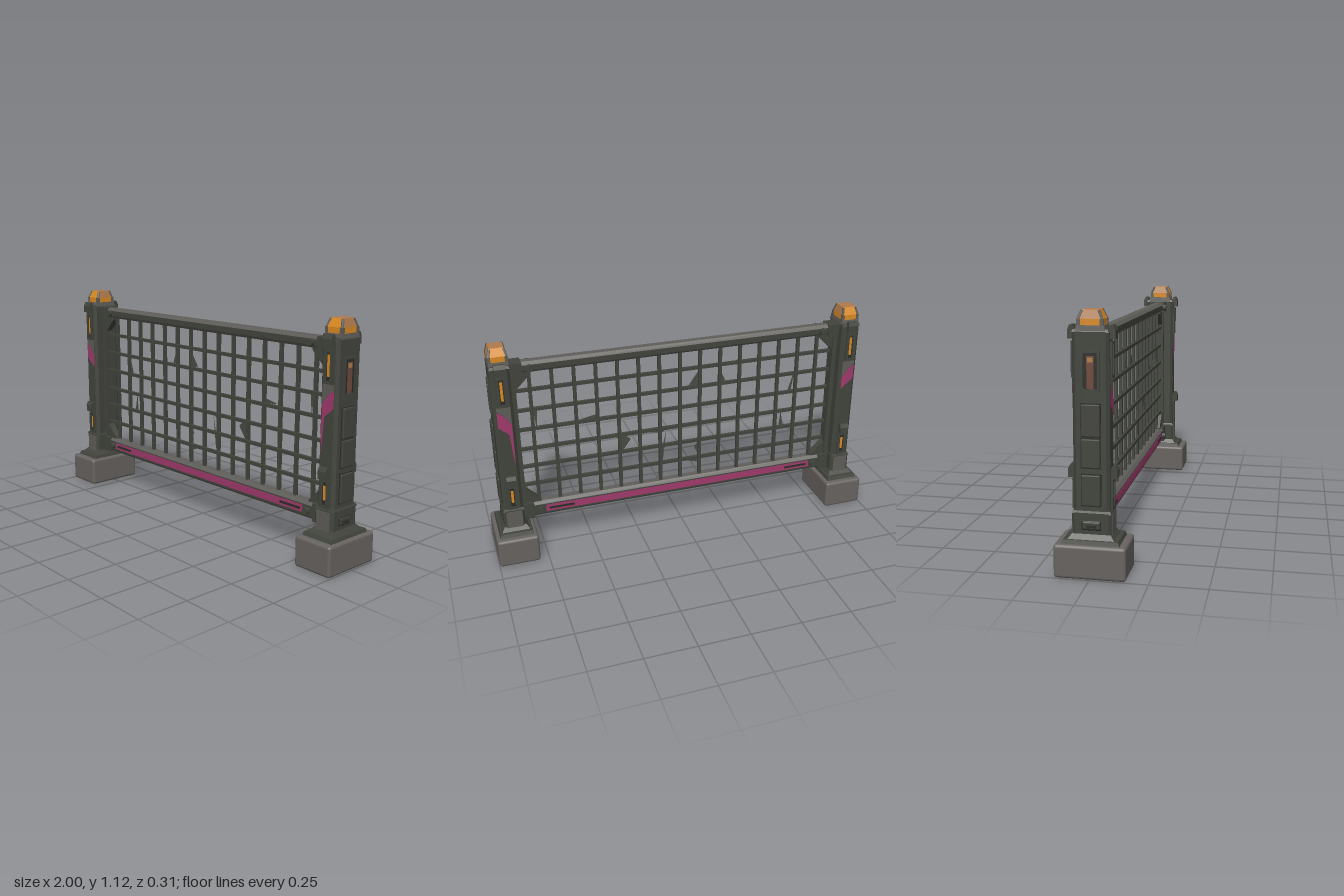
import * as THREE from 'three';
import { RoundedBoxGeometry } from 'three/addons/geometries/RoundedBoxGeometry.js';

const mat = (name, color, side = THREE.FrontSide) => {
  const m = new THREE.MeshStandardMaterial({ color, side });
  m.name = name;
  return m;
};
const steel = mat('darkSteel', 0x42443d);
const worn = mat('wornSteel', 0x5f5d59, THREE.DoubleSide);
const concrete = mat('concrete', 0x676360);
const black = mat('recess', 0x2c2e29);
const orange = mat('amber', 0xd98a22);
const amberTop = mat('amberTop', 0xb07a4c);
const bronze = mat('bronze', 0x6e4a3c);
const magenta = mat('magenta', 0xa03a6c, THREE.DoubleSide);
const scrap = mat('scrap', 0x4a4a45, THREE.DoubleSide);

function add(parent, name, geo, material, x = 0, y = 0, z = 0) {
  const mesh = new THREE.Mesh(geo, material);
  mesh.name = name;
  mesh.position.set(x, y, z);
  parent.add(mesh);
  return mesh;
}
const box = (w, h, d) => new THREE.BoxGeometry(w, h, d);
const polygon = pts => new THREE.Shape(pts.map(p => new THREE.Vector2(...p)));
const plate = pts => new THREE.ShapeGeometry(polygon(pts));

// Upright prism with cut vertical corners, standing on y = 0
function prism(w, h, d, c) {
  const a = w / 2, b = d / 2;
  const geo = new THREE.ExtrudeGeometry(polygon([
    [a - c, -b], [a, c - b], [a, b - c], [a - c, b],
    [c - a, b], [-a, b - c], [-a, c - b], [c - a, -b]]), { depth: h, bevelEnabled: false });
  return geo.rotateX(-Math.PI / 2);
}

// Box whose top is scaled inwards, standing on y = 0
function taper(w, h, d, sx, sz) {
  const geo = box(w, h, d).translate(0, h / 2, 0).toNonIndexed();
  const p = geo.attributes.position;
  for (let i = 0; i < p.count; i++) {
    if (p.getY(i) > h / 2) p.setXYZ(i, p.getX(i) * sx, p.getY(i), p.getZ(i) * sz);
  }
  geo.computeVertexNormals();
  return geo;
}

// Post with +x pointing outwards
function createPost(name) {
  const post = new THREE.Group();
  post.name = name;
  add(post, 'foot', new RoundedBoxGeometry(0.205, 0.147, 0.31, 2, 0.014), concrete, 0, 0.0735, 0);
  add(post, 'plinth', taper(0.168, 0.018, 0.25, 0.94, 0.94), steel, 0, 0.146, 0);
  add(post, 'plinthSlope', taper(0.14, 0.022, 0.2, 0.78, 0.83), steel, 0, 0.163, 0);
  add(post, 'collar', prism(0.106, 0.11, 0.17, 0.012), steel, 0, 0.165, 0);
  add(post, 'collarTop', taper(0.106, 0.012, 0.17, 0.9, 0.94), steel, 0, 0.272, 0);
  add(post, 'column', prism(0.096, 0.76, 0.156, 0.014), steel, 0, 0.27, 0);
  add(post, 'head', taper(0.096, 0.012, 0.156, 0.9, 0.92), steel, 0, 1.028, 0);

  // Outer face: three raised panels, a recessed window and a handle
  for (const [y, h] of [[0.373, 0.132], [0.53, 0.122], [0.668, 0.135]]) {
    add(post, 'panelSeam', box(0.006, h + 0.008, 0.086), black, 0.048, y, 0);
    add(post, 'sidePanel', new RoundedBoxGeometry(0.024, h, 0.08, 1, 0.005), steel, 0.048, y, 0);
  }
  add(post, 'windowRecess', box(0.006, 0.155, 0.062), black, 0.047, 0.872, 0);
  add(post, 'windowPlate', box(0.006, 0.135, 0.03), bronze, 0.049, 0.866, 0);
  add(post, 'windowGlow', box(0.007, 0.02, 0.024), amberTop, 0.05, 0.918, 0);
  for (const s of [-1, 1]) {
    add(post, 'windowSide', box(0.014, 0.165, 0.009), steel, 0.048, 0.872, s * 0.034);
    add(post, 'windowEnd', box(0.014, 0.009, 0.076), steel, 0.048, 0.872 + s * 0.079, 0);
  }
  add(post, 'handleRecess', new RoundedBoxGeometry(0.012, 0.042, 0.084, 2, 0.005), black, 0.05, 0.222, 0);
  add(post, 'handlePad', new RoundedBoxGeometry(0.016, 0.034, 0.076, 2, 0.006), steel, 0.051, 0.222, 0);
  add(post, 'handleSlot', box(0.006, 0.012, 0.042), black, 0.057, 0.218, 0);

  // Front and back fittings
  for (const s of [-1, 1]) {
    const face = new THREE.Group();
    face.name = s > 0 ? 'frontFittings' : 'backFittings';
    post.add(face);
    for (const [part, y, h, ly, lh] of [['upper', 0.915, 0.15, 0.92, 0.096], ['lower', 0.35, 0.13, 0.353, 0.066]]) {
      add(face, part + 'Slot', box(0.042, h, 0.006), black, 0, y, s * 0.078);
      add(face, part + 'Light', box(0.013, lh, 0.008), orange, 0, ly, s * 0.079);
      for (const e of [-1, 1]) {
        add(face, part + 'SlotRim', box(0.013, h, 0.016), steel, e * 0.0175, y, s * 0.079);
        add(face, part + 'SlotEnd', box(0.048, 0.012, 0.016), steel, 0, y + e * (h / 2 - 0.006), s * 0.079);
      }
    }
    add(face, 'bracket', box(0.046, 0.036, 0.03), steel, 0, 0.437, s * 0.09);
    add(face, 'bracketLip', taper(0.046, 0.018, 0.03, 1, 0.4), steel, 0, 0.455, s * 0.09);
    add(face, 'topClip', box(0.054, 0.036, 0.03), steel, 0, 1.018, s * 0.085);
    add(face, 'topClipSlope', taper(0.054, 0.02, 0.03, 1, 0.4), steel, 0, 1.036, s * 0.085);
    add(face, 'collarWear', box(0.078, 0.1, 0.004), worn, 0, 0.22, s * 0.085);
    add(face, 'columnWear', plate([
      [0.033, 0.838], [-0.033, 0.838], [-0.033, 0.747], [0.004, 0.797], [0.033, 0.817]]),
      worn, 0, 0, s * 0.0792);
    add(face, 'paintSlash', plate([
      [0.033, 0.815], [0.004, 0.795], [-0.033, 0.745], [-0.033, 0.68], [0.033, 0.735]]),
      magenta, 0, 0, s * 0.0795);
    if (name === 'leftPost') add(face, 'paintDrip', plate([
      [-0.016, 0.7], [-0.033, 0.69], [-0.033, 0.53], [-0.026, 0.57]]), magenta, 0, 0, s * 0.0795);
  }

  // Faceted beacon: amber ends, paler crown and sloping sides, metal cage
  add(post, 'beaconSeat', taper(0.094, 0.022, 0.124, 0.96, 0.94), worn, 0, 1.034, 0);
  add(post, 'beaconLens', prism(0.088, 0.03, 0.108, 0.012), orange, 0, 1.052, 0);
  add(post, 'beaconDome', taper(0.088, 0.038, 0.108, 0.78, 0.66),
    [amberTop, amberTop, amberTop, orange, orange, orange], 0, 1.081, 0);
  for (const sx of [-1, 1]) for (const sz of [-1, 1]) {
    add(post, 'cagePost', box(0.014, 0.028, 0.016), worn, sx * 0.04, 1.068, sz * 0.048);
    const a = new THREE.Vector3(sx * 0.041, 1.08, sz * 0.05);
    const b = new THREE.Vector3(sx * 0.032, 1.116, sz * 0.034);
    add(post, 'cageRib', new THREE.TubeGeometry(new THREE.LineCurve3(a, b), 1, 0.007, 5), worn);
  }
  return post;
}

export function createModel() {
  const model = new THREE.Group();
  model.name = 'fence';

  const left = createPost('leftPost');
  left.position.x = 0.897;
  const right = createPost('rightPost');
  right.position.x = -0.897;
  right.rotation.y = Math.PI;
  model.add(left, right);

  // Rails: bevelled bars running along x
  const rail = (name, h, d, y) => {
    const g = prism(h, 1.72, d, 0.014).translate(0, -0.86, 0).rotateZ(Math.PI / 2);
    add(model, name, g, worn, 0, y, 0);
  };
  rail('topRail', 0.055, 0.062, 1.002);
  rail('bottomRail', 0.08, 0.062, 0.225);
  for (const s of [-1, 1]) {
    add(model, 'topRailShade', box(1.6, 0.026, 0.004), steel, 0, 1.002, s * 0.031);
    add(model, 'railShade', box(1.6, 0.05, 0.004), steel, 0, 0.225, s * 0.031);
    add(model, 'railStripe', box(1.46, 0.036, 0.006), magenta, 0, 0.227, s * 0.032);
    for (const e of [-1, 1]) {
      add(model, 'stripeSlot', box(0.13, 0.012, 0.008), black, e * 0.65, 0.226, s * 0.032);
    }
  }

  // Side stiles, corner gussets, rail sockets and bolts
  for (const s of [-1, 1]) {
    add(model, 'sideStile', box(0.03, 0.76, 0.05), steel, s * 0.84, 0.61, 0);
    for (const [y, dir] of [[0.98, -1], [0.255, 1]]) {
      const tri = polygon([[0, 0], [0.085, 0], [0.085, 0.016], [0.016, 0.085], [0, 0.085]]);
      const g = new THREE.ExtrudeGeometry(tri, { depth: 0.036, bevelEnabled: false }).translate(0, 0, -0.018);
      const gusset = add(model, 'cornerGusset', g, steel, s * 0.835, y, 0);
      // Turned about an axis so that faces keep their direction
      if (s > 0 && dir > 0) gusset.rotation.y = Math.PI;
      if (s < 0 && dir < 0) gusset.rotation.x = Math.PI;
      if (s > 0 && dir < 0) gusset.rotation.z = Math.PI;
      const ry = dir < 0 ? 1.002 : 0.225;
      add(model, 'railSocket', box(0.06, dir < 0 ? 0.058 : 0.086, 0.072), steel, s * 0.82, ry, 0);
      const bolt = new THREE.CylinderGeometry(0.017, 0.017, 0.104, 8).rotateX(Math.PI / 2);
      add(model, 'railBolt', bolt, steel, s * 0.757, ry, 0);
    }
  }

  // Mesh of crossing bars
  for (let i = 0; i < 15; i++) {
    add(model, 'uprightWire', box(0.016, 0.74, 0.016), steel, 0.008 + (i - 7) * 0.107, 0.615, -0.004);
  }
  for (const y of [0.875, 0.77, 0.666, 0.56, 0.462, 0.36]) {
    add(model, 'crossWire', box(1.67, 0.016, 0.016), steel, 0, y, 0.005);
  }

  // Torn scraps caught in the mesh
  const scraps = [
    [[-0.2, 0.87], [-0.2, 0.78], [-0.24, 0.78]],
    [[-0.1, 0.87], [-0.1, 0.77], [-0.04, 0.785]],
    [[-0.63, 0.8], [-0.59, 0.67], [-0.61, 0.67]],
    [[-0.56, 0.56], [-0.58, 0.46], [-0.55, 0.46]],
    [[-0.41, 0.77], [-0.41, 0.67], [-0.43, 0.67]],
    [[0.07, 0.57], [0.18, 0.55], [0.1, 0.54]],
    [[0.08, 0.55], [0.12, 0.38], [0.1, 0.38]],
    [[0.32, 0.57], [0.32, 0.46], [0.27, 0.53]],
    [[-0.1, 0.46], [-0.1, 0.36], [-0.07, 0.43]],
    [[-0.11, 0.36], [0, 0.36], [-0.1, 0.33]],
    [[0.42, 0.37], [0.53, 0.36], [0.43, 0.345]],
    [[0.75, 0.77], [0.74, 0.65], [0.73, 0.77]],
    [[0.43, 0.67], [0.53, 0.68], [0.43, 0.7]],
  ];
  for (const pts of scraps) add(model, 'tornScrap', plate(pts), scrap);

  return model;
}
